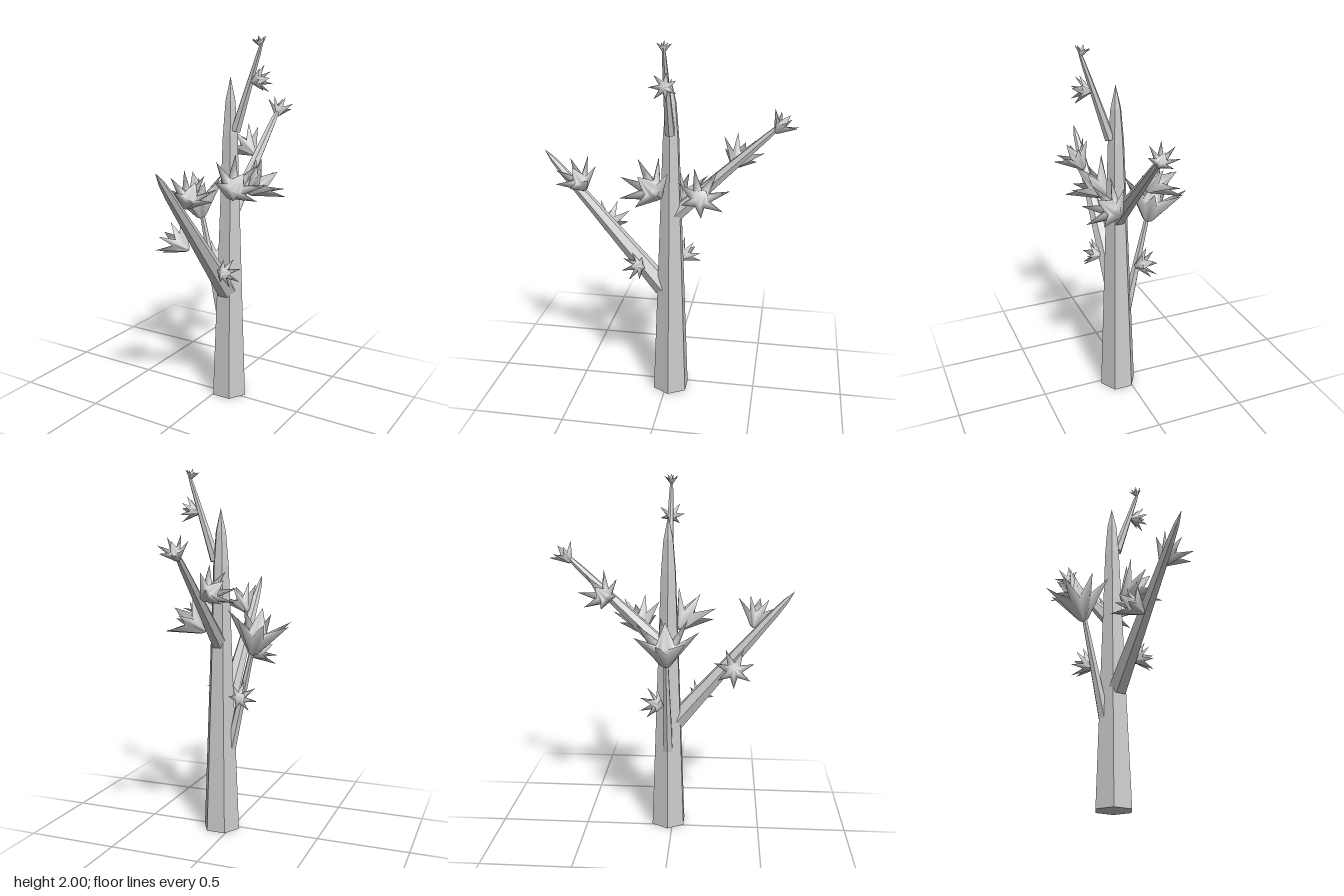
import * as THREE from 'three';
import { mergeVertices } from 'three/addons/utils/BufferGeometryUtils.js';

const UP = new THREE.Vector3(0, 1, 0);
const flatMat = new THREE.MeshStandardMaterial({ color: 0xcccccc, flatShading: true });
const smoothMat = new THREE.MeshStandardMaterial({ color: 0xcccccc, side: THREE.DoubleSide });

// Six-sided tapering limb with a pointed tip, running from a to b
function limb(name, a, b, radius) {
  const start = new THREE.Vector3(...a);
  const dir = new THREE.Vector3(...b).sub(start);
  const len = dir.length();
  const profile = [[0, 0], [1, 0], [0.43, 0.83], [0.28, 0.93], [0, 1]]
    .map(([r, t]) => new THREE.Vector2(r * radius, t * len));
  const mesh = new THREE.Mesh(new THREE.LatheGeometry(profile, 6, Math.PI / 6), flatMat);
  mesh.name = name;
  mesh.position.copy(start);
  mesh.quaternion.setFromUnitVectors(UP, dir.normalize());
  return mesh;
}

// Leaf tuft: a cup whose rim is pulled out into spikes around a central spike
function tuftGeometry(spikes) {
  const profile = [[0, 0], [0.1, 0.06], [0.27, 0.42], [0.19, 0.5], [0, 1]]
    .map(([r, y]) => new THREE.Vector2(r, y));
  const geo = new THREE.LatheGeometry(profile, spikes * 2);
  const pos = geo.attributes.position;
  for (let i = 0; i <= spikes * 2; i += 2) {
    const a = (i / (spikes * 2)) * Math.PI * 2;
    const k = i * profile.length + 2;
    pos.setXYZ(k, Math.sin(a) * 0.66, 0.8, Math.cos(a) * 0.66);
  }
  geo.deleteAttribute('uv');
  geo.deleteAttribute('normal');
  const merged = mergeVertices(geo, 1e-4);
  merged.computeVertexNormals();
  return merged;
}

export function createModel() {
  const group = new THREE.Group();

  // Trunk and the four branches
  group.add(
    limb('trunk', [0.057, 0, -0.025], [0.057, 1.79, -0.025], 0.105),
    limb('frontBranch', [0.06, 0.63, 0.015], [0.06, 1.39, 0.66], 0.056),
    limb('rightBranch', [0.005, 0.46, -0.025], [-0.15, 1.15, -0.025], 0.032),
    limb('backBranch', [0.06, 1.06, -0.045], [0.06, 1.6, -0.61], 0.044),
    limb('leftBranch', [0.09, 1.51, -0.025], [0.25, 1.99, -0.02], 0.028),
  );

  // Leaf tufts: root, direction, length
  const tufts = [
    [[-0.125, 1.0, -0.025], [-0.22, 1, 0], 0.27],
    [[0.08, 1.16, 0.03], [0.55, 0.6, 0.35], 0.23],
    [[0.085, 1.14, -0.17], [0.65, 0.55, -0.25], 0.21],
    [[0.03, 1.33, -0.35], [-0.7, 0.5, -0.25], 0.18],
    [[0.06, 1.53, -0.555], [0, 0.65, -0.5], 0.12],
    [[0.03, 0.935, 0.34], [-0.8, 0.4, 0], 0.17],
    [[0.075, 1.18, 0.44], [0.45, 0.75, 0.2], 0.18],
    [[0.08, 0.76, 0.13], [0.75, 0.25, 0.3], 0.12],
    [[-0.04, 0.755, -0.05], [-0.55, 0.35, -0.55], 0.13],
    [[0.18, 1.765, -0.02], [0.9, 0.2, 0], 0.11],
    [[0.235, 1.94, -0.02], [-0.25, 1, 0], 0.06],
  ];
  const tuftGeo = tuftGeometry(7);
  tufts.forEach(([root, dir, size], i) => {
    const tuft = new THREE.Mesh(tuftGeo, smoothMat);
    tuft.name = `leafTuft${i + 1}`;
    tuft.position.set(...root);
    tuft.quaternion.setFromUnitVectors(UP, new THREE.Vector3(...dir).normalize());
    tuft.rotateY(i * 1.3);
    tuft.scale.setScalar(size);
    group.add(tuft);
  });

  return group;
}
